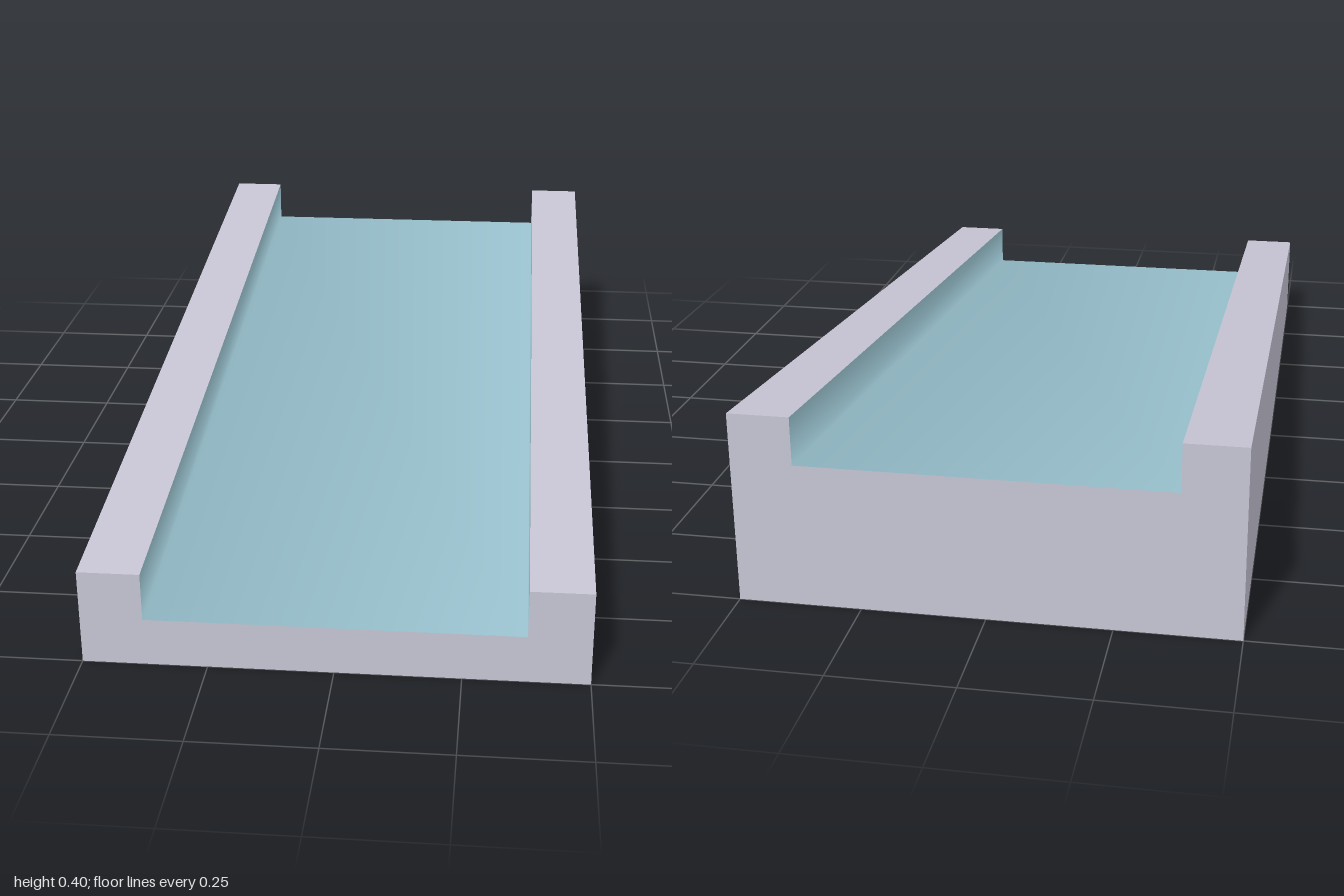
import * as THREE from 'three';

const LENGTH = 2, RISE = 0.2;

// U-shaped section at the low front end, counter-clockwise
const PROFILE = [
  [-0.5, 0], [0.5, 0], [0.5, 0.2], [0.375, 0.2],
  [0.375, 0.1], [-0.375, 0.1], [-0.375, 0.2], [-0.5, 0.2],
];
// the base stays flat, everything above it rises towards the back
const raise = ([x, y]) => [x, y > 0 ? y + RISE : y];

// Ruled surface through the given section points, from front to back
function loft(points) {
  const pos = [], index = [];
  points.forEach((p, i) => {
    pos.push(...p, LENGTH / 2, ...raise(p), -LENGTH / 2);
    if (i === 0) return;
    const a = 2 * (i - 1), b = 2 * i;
    index.push(a, a + 1, b + 1, a, b + 1, b);
  });
  const geo = new THREE.BufferGeometry();
  geo.setAttribute('position', new THREE.Float32BufferAttribute(pos, 3));
  geo.setIndex(index);
  geo.computeVertexNormals();
  return geo;
}

const endCap = (points) =>
  new THREE.ShapeGeometry(new THREE.Shape(points.map(([x, y]) => new THREE.Vector2(x, y))));

export function createModel() {
  const model = new THREE.Group();
  model.name = 'slopedChannel';

  const stone = new THREE.MeshStandardMaterial({ color: 0xc6c4d4 });
  stone.name = 'paleGrey';
  const blue = new THREE.MeshStandardMaterial({ color: 0xa0cbd8 });
  blue.name = 'paleBlue';

  const add = (name, geo, mat, parent = model) => {
    const mesh = new THREE.Mesh(geo, mat);
    mesh.name = name;
    parent.add(mesh);
    return mesh;
  };

  // Grey block: bottom, sides, rail tops and the two ends
  const body = new THREE.Group();
  body.name = 'body';
  model.add(body);
  const faces = { bottom: 0, leftSide: 1, leftRailTop: 2, rightRailTop: 6, rightSide: 7 };
  for (const [name, i] of Object.entries(faces)) {
    add(name, loft([PROFILE[i], PROFILE[(i + 1) % PROFILE.length]]), stone, body);
  }
  add('frontEnd', endCap(PROFILE).translate(0, 0, LENGTH / 2), stone, body);
  add('backEnd', endCap(PROFILE.map(raise)).rotateY(Math.PI).translate(0, 0, -LENGTH / 2), stone, body);

  // Blue channel lining: walls and floor, shaded as one soft trough
  const lining = loft(PROFILE.slice(3, 7));
  const up = new THREE.Vector3(0, LENGTH, RISE).normalize();
  const n = new THREE.Vector3();
  for (let i = 0; i < 8; i++) {
    n.set(i < 4 ? -1 : 1, 0, 0);
    if (i >= 2 && i < 6) n.add(up).normalize();
    lining.attributes.normal.setXYZ(i, n.x, n.y, n.z);
  }
  add('channelLining', lining, blue);

  return model;
}
